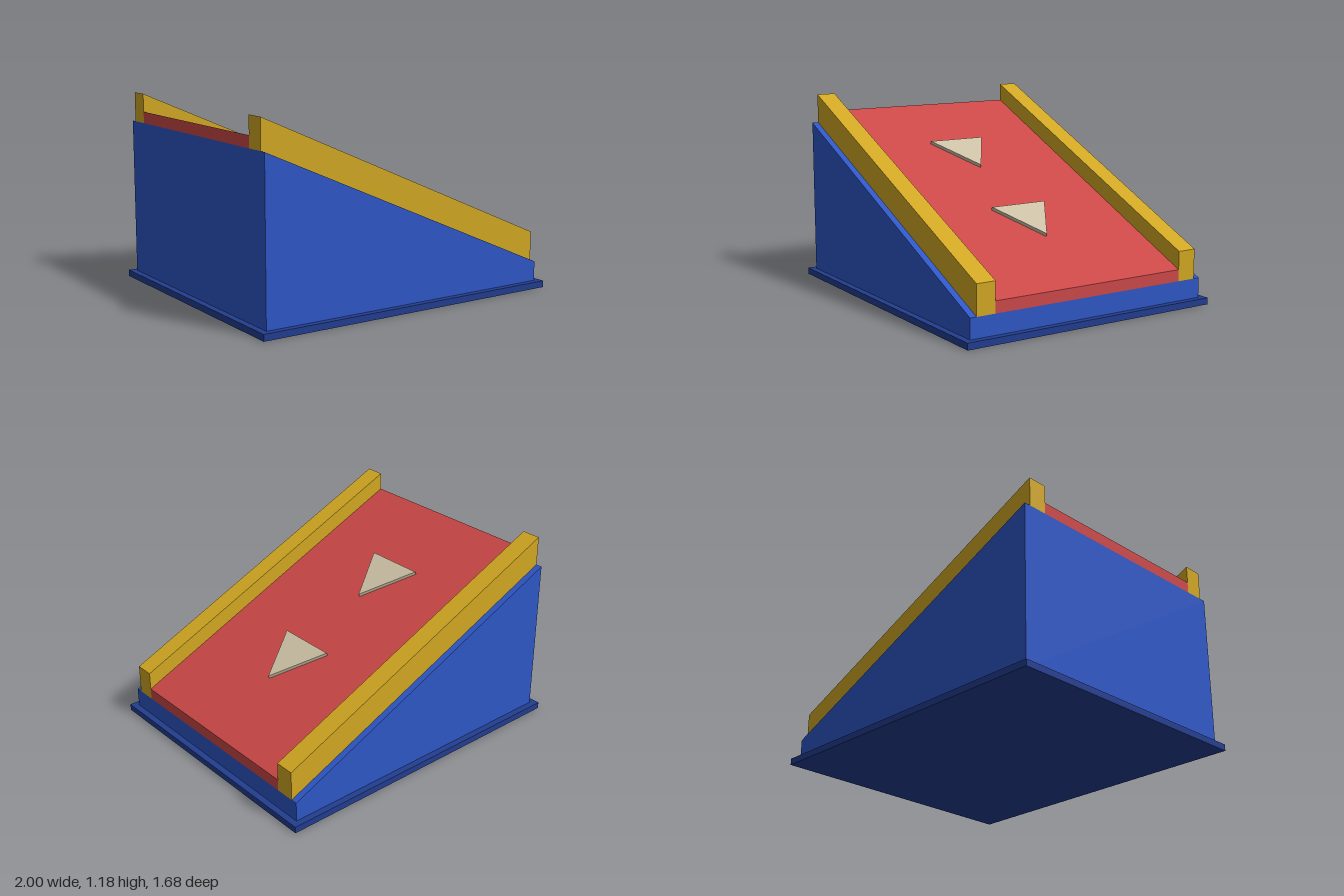
import * as THREE from 'three';

const material = (name, color) => {
  const m = new THREE.MeshStandardMaterial({ color });
  m.name = name;
  return m;
};

const HALF = 0.96;                        // half length of the ramp
const HIGH = 1.0, LOW = 0.16;             // wedge heights at the two ends
const SLOPE = (LOW - HIGH) / (2 * HALF);
const slopeY = (x) => HIGH + SLOPE * (x + HALF);

export function createModel() {
  const group = new THREE.Group();
  group.name = 'ramp';

  const blue = material('blue', 0x2e57c6);
  const navy = material('navy', 0x223d90);
  const red = material('red', 0xcc4747);
  const gold = material('gold', 0xd1a722);
  const cream = material('cream', 0xcdc1a6);

  const add = (name, geometry, mat) => {
    const mesh = new THREE.Mesh(geometry, mat);
    mesh.name = name;
    group.add(mesh);
    return mesh;
  };

  // Extrudes an outline of [x, y] points across z, centred on zero
  const slab = (points, width) => {
    const shape = new THREE.Shape(points.map(([x, y]) => new THREE.Vector2(x, y)));
    return new THREE.ExtrudeGeometry(shape, { depth: width, bevelEnabled: false })
      .translate(0, 0, -width / 2);
  };

  // Sloping strip with vertical ends, resting on the wedge
  const strip = (height, width) => slab([
    [-HALF, HIGH], [HALF, LOW], [HALF, LOW + height], [-HALF, HIGH + height],
  ], width);

  // Base plate and wedge body
  add('basePlate', new THREE.BoxGeometry(2, 0.04, 1.68), navy).position.y = 0.02;
  add('wedgeBody', slab([[-HALF, 0.02], [HALF, 0.02], [HALF, LOW], [-HALF, HIGH]], 1.6), blue);

  // Running surface and side rails
  const deckHeight = 0.07;
  add('deck', strip(deckHeight, 1.28), red);
  for (const side of [1, -1]) {
    add(side > 0 ? 'frontRail' : 'backRail', strip(0.18, 0.12), gold).position.z = side * 0.7;
  }

  // Arrow plates lying on the deck, pointing downhill
  const arrow = new THREE.ExtrudeGeometry(
    new THREE.Shape([
      new THREE.Vector2(0, -0.19), new THREE.Vector2(0.325, 0), new THREE.Vector2(0, 0.19),
    ]),
    { depth: 0.02, bevelEnabled: false },
  ).rotateX(-Math.PI / 2);
  [-0.502, 0.218].forEach((x, i) => {
    const mesh = add(`arrow${i + 1}`, arrow, cream);
    mesh.position.set(x, slopeY(x) + deckHeight, 0);
    mesh.rotation.z = Math.atan(SLOPE);
  });

  return group;
}
